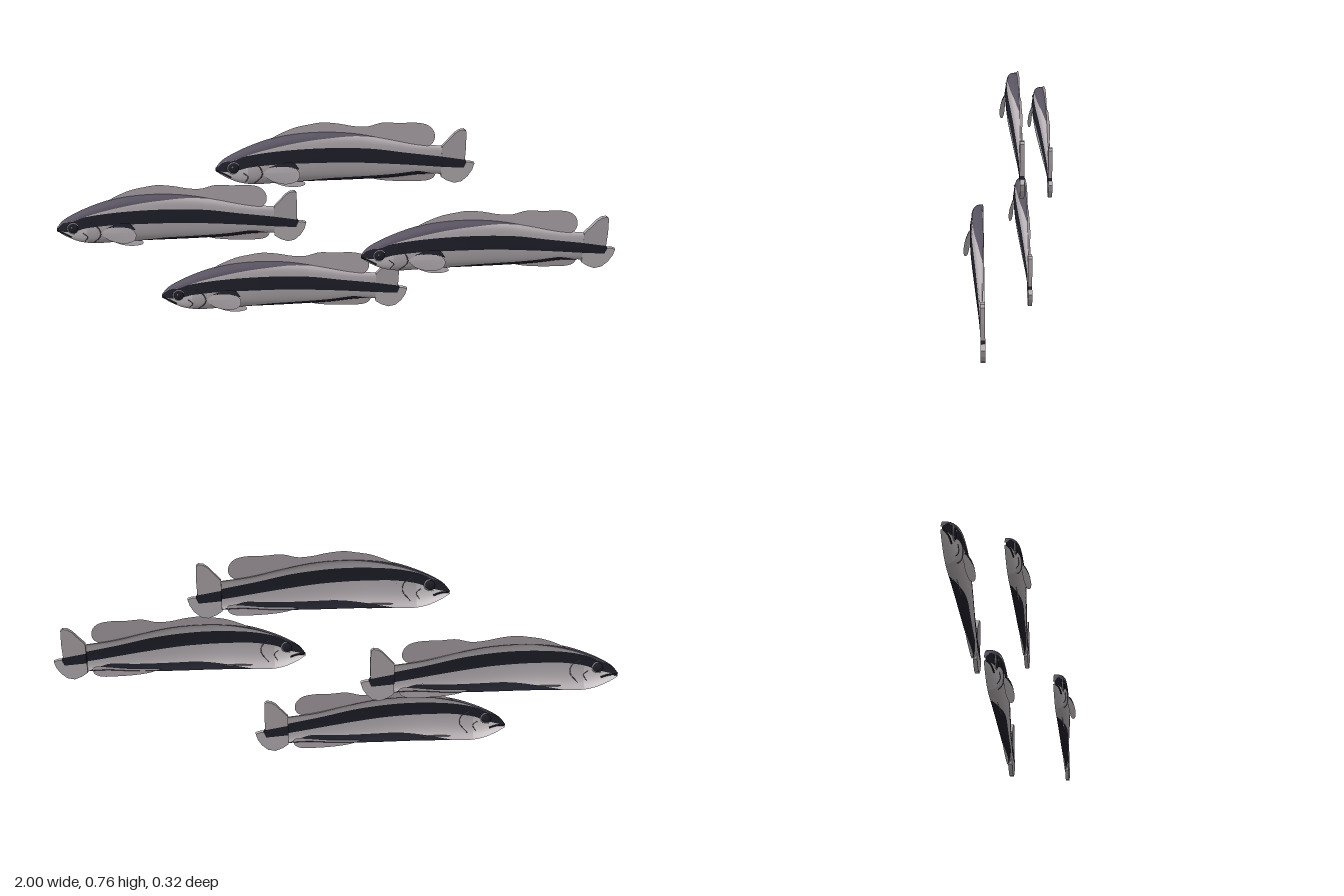
import * as THREE from 'three';

// Fish are drawn in small units: u runs nose to tail, v runs upward, w bulges to the front.
const UNIT = 0.91 / 170;

function material(name, color) {
  const m = new THREE.MeshStandardMaterial({ color, side: THREE.DoubleSide });
  m.name = name;
  return m;
}

// Smooth curve through [u, value] points
function profile(pts) {
  const slope = (i) => {
    const a = pts[Math.max(i - 1, 0)], b = pts[Math.min(i + 1, pts.length - 1)];
    return (b[1] - a[1]) / (b[0] - a[0]);
  };
  return (u) => {
    let i = 0;
    while (i < pts.length - 2 && u > pts[i + 1][0]) i++;
    const h = pts[i + 1][0] - pts[i][0];
    const s = Math.min(Math.max((u - pts[i][0]) / h, 0), 1), r = 1 - s;
    return r * r * (1 + 2 * s) * pts[i][1] + s * s * (3 - 2 * s) * pts[i + 1][1]
      + h * s * r * (r * slope(i) - s * slope(i + 1));
  };
}

// Body outline, depth and colour borders
const top = profile([[0, 15], [4, 20], [10, 24], [20, 29], [35, 34.5], [50, 37.5], [70, 38.5], [90, 37], [110, 33], [130, 28.5], [150, 26]]);
const bottom = profile([[0, 13], [6, 9], [15, 5], [25, 3.5], [40, 4], [60, 4.5], [90, 4.5], [115, 5], [135, 6.5], [150, 6]]);
const depth = profile([[0, 1], [5, 3.8], [15, 6.6], [30, 8.3], [50, 8.5], [70, 8], [100, 6], [130, 3.9], [150, 2.8]]);
const stripeTop = profile([[0, 14.8], [5, 20], [12, 22], [20, 25.5], [40, 28.8], [70, 30], [100, 28], [125, 23.5], [150, 19.3]]);
const stripeBottom = profile([[0, 13.6], [8, 14], [14, 15.5], [22, 18], [40, 20], [80, 19.7], [110, 17], [150, 12]]);
const bellyLine = (u) => bottom(u)
  + 3.6 * THREE.MathUtils.smoothstep(u, 35, 80) * (1 - THREE.MathUtils.smoothstep(u, 130, 149));
// The dusky back covers the forehead and fades out towards the tail
const backLine = profile([[0, 14.9], [5, 20.1], [12, 22.1], [20, 25.6], [30, 29], [42, 32], [55, 34.4], [70, 36], [90, 36.3], [110, 33.2], [150, 26.5]]);

// Boxy cross-section: a slanted face with a shelf along the back and belly
function depthAt(u, v) {
  const s = 2 * (v - bottom(u)) / (top(u) - bottom(u)) - 1;
  const a = Math.min(Math.abs(s), 1);
  return s > 0
    ? depth(u) * (1 - 0.2 * a) * Math.pow(1 - Math.pow(a, 10), 0.4)
    : depth(u) * (1 - 0.25 * a * a) * Math.pow(1 - Math.pow(a, 6), 0.4);
}

// One coloured strip of the body shell between two borders
function bodyBand(low, high, rows, from = 0, to = 150) {
  const columns = 60, pos = [], index = [];
  const angle = (u, v) => {
    const t = THREE.MathUtils.clamp((v - bottom(u)) / (top(u) - bottom(u)), 0, 1);
    return Math.acos(1 - 2 * t);
  };
  for (let i = 0; i <= columns; i++) {
    const u = from + (to - from) * Math.pow(i / columns, 1.25);
    const a0 = angle(u, low(u)), a1 = Math.max(a0, angle(u, high(u)));
    for (let j = 0; j <= rows; j++) {
      const t = (1 - Math.cos(a0 + (a1 - a0) * j / rows)) / 2;
      const v = bottom(u) + t * (top(u) - bottom(u));
      pos.push(u, v, depthAt(u, v));
      if (i < columns && j < rows) {
        const k = i * (rows + 1) + j, n = k + rows + 1;
        index.push(k, n, n + 1, k, n + 1, k + 1);
      }
    }
  }
  const g = new THREE.BufferGeometry();
  g.setAttribute('position', new THREE.Float32BufferAttribute(pos, 3));
  g.setIndex(index);
  g.computeVertexNormals();
  return g;
}

// Thin fin cut from a smooth outline and leaned by a rule
function finSheet(points, w) {
  const v2 = points.map(([x, y]) => new THREE.Vector2(x, y));
  const shape = new THREE.Shape();
  shape.moveTo(v2[0].x, v2[0].y);
  shape.splineThru(v2.slice(1));
  const g = new THREE.ShapeGeometry(shape, 30);
  const p = g.attributes.position;
  for (let i = 0; i < p.count; i++) p.setZ(i, w(p.getX(i), p.getY(i)));
  g.computeVertexNormals();
  return g;
}

// Piece of the tail slab
function tailSlab(points) {
  const shape = new THREE.Shape(points.map(([x, y]) => new THREE.Vector2(x, y)));
  return new THREE.ExtrudeGeometry(shape, { depth: 2.7, bevelEnabled: false });
}

// Thin line lying on the body surface
function surfaceLine(points, radius) {
  const flat = new THREE.SplineCurve(points.map(([x, y]) => new THREE.Vector2(x, y)));
  const path = flat.getPoints(12).map((p) => new THREE.Vector3(p.x, p.y, depthAt(p.x, p.y)));
  return new THREE.TubeGeometry(new THREE.CatmullRomCurve3(path), 20, radius, 5);
}

function createFish(mats) {
  const fish = new THREE.Group();
  const add = (name, geometry, mat) => {
    const m = new THREE.Mesh(geometry, mat);
    m.name = name;
    fish.add(m);
    return m;
  };
  const { light, fin, dark, back, white } = mats;

  // Body shell, belly to back
  add('bellyLine', bodyBand(bottom, bellyLine, 6), dark);
  add('jaw', bodyBand(bellyLine, stripeBottom, 12, 0, 21), white);
  add('lowerFlank', bodyBand(bellyLine, stripeBottom, 12, 21), light);
  add('sideStripe', bodyBand(stripeBottom, stripeTop, 6), dark);
  add('upperFlank', bodyBand(stripeTop, backLine, 7), light);
  add('backBand', bodyBand(backLine, top, 8), back);

  // Dorsal fin, leaning slightly
  add('dorsalFin', finSheet([[34, 33.5], [42, 38], [52, 42], [62, 44], [70, 45], [80, 44], [90, 42], [99, 41.5], [109, 43.8],
    [120, 43.2], [130, 43.2], [138, 41.5], [142.5, 37], [143, 31], [139, 27], [130, 28], [110, 32.5], [90, 36.5],
    [70, 38], [50, 37], [34, 33.5]], (u, v) => (45.5 - v) * 0.08), fin);

  // Anal and pelvic fins
  add('analFin', finSheet([[98, 6], [106, 3.4], [116, 2], [128, 1.4], [139, 1.6], [144, 4.5], [142, 9], [120, 7], [98, 6]],
    (u, v) => 0.2 + v * 0.08), fin);
  add('pelvicFin', finSheet([[36, 5.5], [44, 2.6], [52, 1.8], [58, 3], [56, 5.5], [46, 6.5], [36, 5.5]],
    (u, v) => 3.2 + (6 - v) * 0.4), fin);

  // Tail fin, with the stripe running through to its notch
  add('tailFinTop', tailSlab([[148, 19.6], [148, 26.6], [152, 31], [156, 35.7], [159, 37.8], [162, 38.2], [163.5, 37],
    [163.9, 27], [163.5, 16.8]]), fin);
  add('tailStripe', tailSlab([[148, 12.2], [148, 19.6], [163.5, 16.8], [164.6, 15], [163, 11]]), dark);
  add('tailFinBottom', tailSlab([[148, 5], [148, 12.2], [163, 11], [164.6, 15], [167, 15], [170, 14], [168.7, 9.5],
    [166, 5], [162, 1.3], [157, 0.2], [152, 2.2]]), light);

  // Pectoral fin, standing out from the flank and cupped
  const flare = (u, v) => 8 + (u - 30) * 0.19 - Math.pow((v - 13) / 7, 2) * 0.8;
  add('pectoralFin', finSheet([[30, 14], [36, 18], [45, 19], [52, 18], [54.5, 14], [52, 9], [45, 6.5], [36, 8.5], [30, 14]], flare), light);
  add('pectoralFinEdge', finSheet([[34, 17.6], [42, 21], [50, 22], [54, 18], [52, 18], [45, 19], [36, 18], [34, 17.6]], flare), dark);

  // Head details
  const eyeDepth = depthAt(12, 17);
  const eye = add('eye', new THREE.SphereGeometry(3.6, 20, 14), dark);
  eye.position.set(12, 17, eyeDepth);
  eye.scale.z = 0.4;
  add('eyeRing', new THREE.TorusGeometry(3.9, 0.5, 6, 24), white).position.set(12, 17, eyeDepth);
  add('eyeGlint', new THREE.SphereGeometry(0.6, 8, 6), white).position.set(11.2, 18.2, eyeDepth + 1.3);
  add('mouth', surfaceLine([[0.4, 13.6], [5, 12.4], [10, 10]], 0.6), dark);
  add('gillCover', surfaceLine([[24, 22], [29, 18], [30, 12], [25, 6]], 0.35), back);
  add('cheekLine', surfaceLine([[18, 14], [21, 11], [19, 7]], 0.3), back);

  fish.scale.setScalar(UNIT);
  return fish;
}

export function createModel() {
  const mats = {
    light: material('pale scales', 0xb6afb3),
    fin: material('fin grey', 0xaca4a9),
    dark: material('stripe black', 0x20202b),
    back: material('dusky back', 0x5a5462),
    white: material('jaw white', 0xc8c2c5),
  };
  const school = new THREE.Group();
  school.name = 'fishSchool';

  // Nose x, lowest y and back plane z of every fish
  const places = {
    topFish: [-0.41, 0.525, -0.035],
    rearFish: [-1, 0.245, -0.16],
    frontFish: [0.09, 0.231, 0.095],
    bottomFish: [-0.63, 0, -0.073],
  };
  const fish = createFish(mats);
  for (const [name, place] of Object.entries(places)) {
    const f = fish.clone();
    f.name = name;
    f.position.set(...place);
    school.add(f);
  }
  return school;
}
